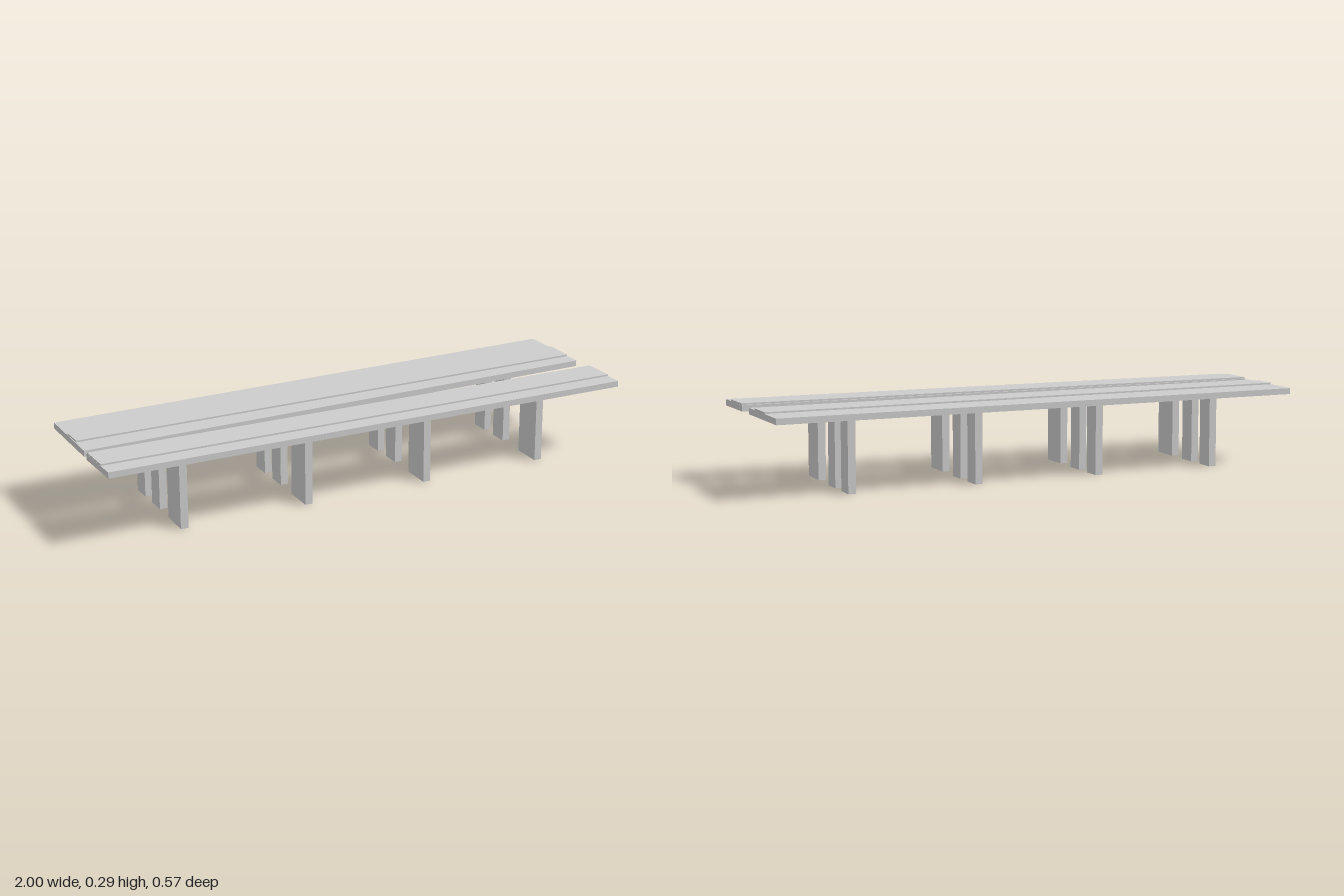
import * as THREE from 'three';

const material = new THREE.MeshStandardMaterial({ color: 0xcccccc, flatShading: true });

// Flat plate from [x, z] corners, between two heights
function plate(name, corners, y0, y1) {
  const shape = new THREE.Shape(corners.map(([x, z]) => new THREE.Vector2(x, -z)));
  const geometry = new THREE.ExtrudeGeometry(shape, { depth: y1 - y0, bevelEnabled: false });
  geometry.rotateX(-Math.PI / 2);
  geometry.translate(0, y0, 0);
  const mesh = new THREE.Mesh(geometry, material);
  mesh.name = name;
  return mesh;
}

// Row of four upright supports
function legRow(name, z, depth) {
  const row = new THREE.Group();
  row.name = name;
  for (const x of [-0.704, -0.235, 0.235, 0.704]) {
    const leg = new THREE.Mesh(new THREE.BoxGeometry(0.028, 0.26, depth), material);
    leg.name = 'leg';
    leg.position.set(x, 0.13, z);
    row.add(leg);
  }
  return row;
}

export function createModel() {
  const model = new THREE.Group();
  model.name = 'twinPlatforms';
  const bottom = 0.26, deck = 0.282, top = 0.288;

  // Narrow front platform with a raised centre strip
  const front = new THREE.Group();
  front.name = 'frontPlatform';
  front.add(
    plate('frontDeck', [[-0.992, 0.284], [0.999, 0.283], [0.993, 0.093], [-0.999, 0.094]], bottom, deck),
    plate('frontRaisedStrip', [[-0.994, 0.219], [0.997, 0.219], [0.993, 0.102], [-0.998, 0.1]], deck, top),
    legRow('frontLegs', 0.161, 0.112)
  );

  // Wide rear platform, turned slightly, with a strip widening to the left
  const rear = new THREE.Group();
  rear.name = 'rearPlatform';
  rear.add(
    plate('rearDeck', [[-0.997, 0.066], [0.99, 0.017], [0.983, -0.282], [-0.999, -0.235]], bottom, deck),
    plate('rearRaisedStrip', [[-0.994, -0.02], [0.988, -0.043], [0.986, -0.157], [-0.996, -0.1]], deck, top)
  );
  const rearLegs = new THREE.Group();
  rearLegs.name = 'rearLegs';
  rearLegs.add(legRow('innerLegs', -0.027, 0.069), legRow('outerLegs', -0.157, 0.069));
  rearLegs.rotation.y = 0.0243;
  rear.add(rearLegs);

  model.add(front, rear);
  return model;
}
